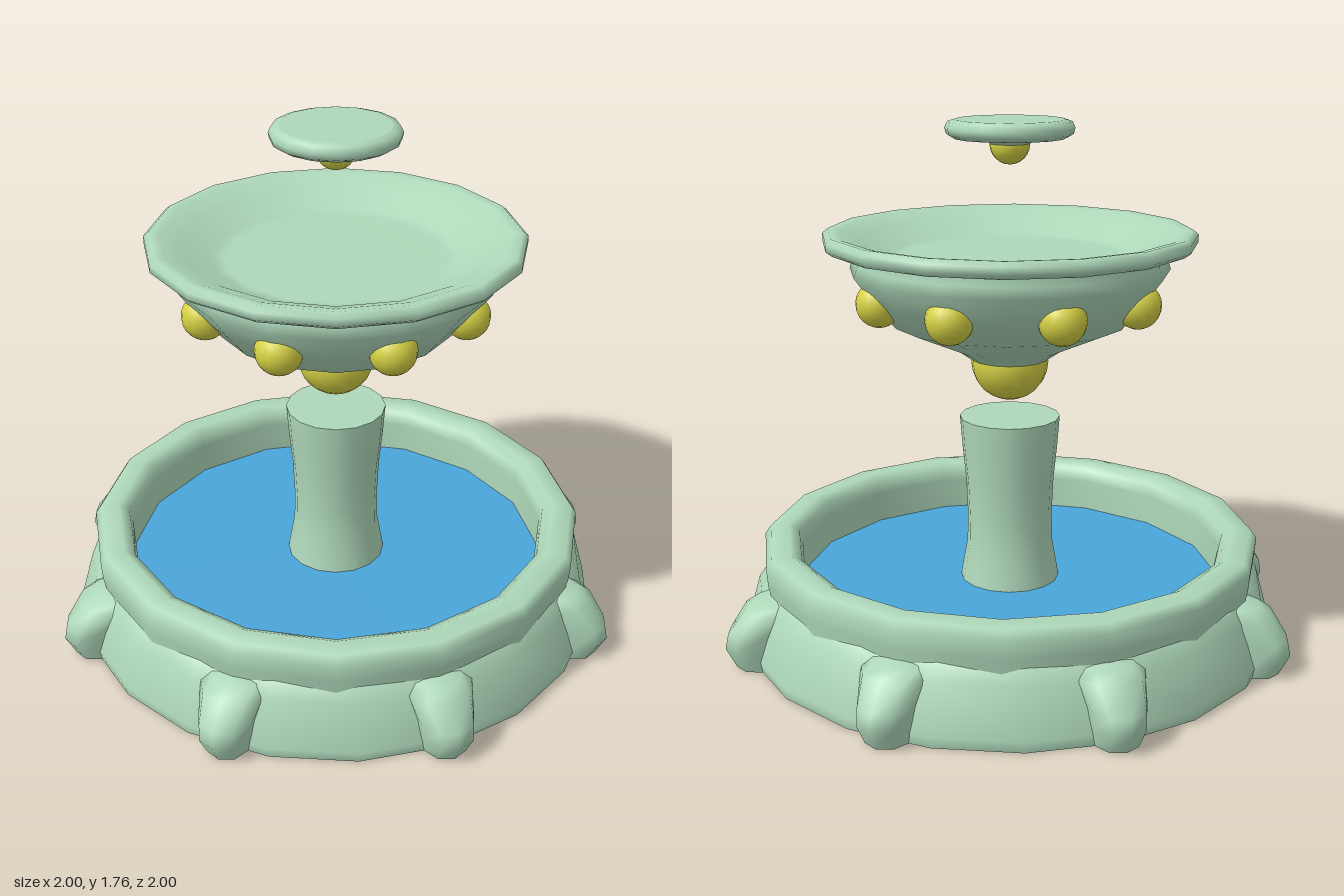
import * as THREE from 'three';

const stone = new THREE.MeshStandardMaterial({ name: 'pale green stone', color: 0xaed8ba });
const water = new THREE.MeshStandardMaterial({ name: 'blue water', color: 0x4aa5da });
const gold = new THREE.MeshStandardMaterial({ name: 'yellow gold', color: 0xd6d245 });

// Turned part from [radius, height] pairs; a repeated pair keeps a hard edge
function turned(name, profile, segments) {
  const points = profile.map(([r, y]) => new THREE.Vector2(r, y));
  const mesh = new THREE.Mesh(new THREE.LatheGeometry(points, segments), stone);
  mesh.name = name;
  return mesh;
}

function ball(name, radius, x, y, z) {
  const mesh = new THREE.Mesh(new THREE.SphereGeometry(radius, 16, 12), gold);
  mesh.name = name;
  mesh.position.set(x, y, z);
  return mesh;
}

// Rounded foot: stacked half-octagon sections [height, half width, reach]
function buttressGeometry() {
  const sections = [
    [0, 0.075, 0.965], [0.07, 0.085, 1.0], [0.12, 0.09, 0.99],
    [0.2, 0.11, 0.93], [0.225, 0.09, 0.89],
  ];
  const pos = [], index = [], n = 7;
  for (const [y, w, o] of sections) {
    const ring = [[-w, 0.78], [-w, o - 0.08], [-0.65 * w, o - 0.02], [0, o],
      [0.65 * w, o - 0.02], [w, o - 0.08], [w, 0.78]];
    for (const [x, z] of ring) pos.push(x, y, z);
  }
  for (let j = 0; j < sections.length - 1; j++) {
    for (let i = 0; i < n - 1; i++) {
      const a = j * n + i, b = a + 1, c = a + n, d = c + 1;
      index.push(a, b, d, a, d, c);
    }
  }
  // Crowned top and flat underside
  const last = (sections.length - 1) * n, top = pos.length / 3;
  pos.push(0, 0.24, 0.82);
  for (let i = 0; i < n - 1; i++) index.push(last + i, last + i + 1, top);
  const under = pos.length / 3;
  for (let i = 0; i < n; i++) pos.push(pos[i * 3], 0, pos[i * 3 + 2]);
  for (let i = 1; i < n - 1; i++) index.push(under, under + i + 1, under + i);
  const geo = new THREE.BufferGeometry();
  geo.setAttribute('position', new THREE.Float32BufferAttribute(pos, 3));
  geo.setIndex(index);
  geo.computeVertexNormals();
  return geo;
}

export function createModel() {
  const fountain = new THREE.Group();
  fountain.name = 'fountain';

  // Pool
  fountain.add(turned('plinth', [
    [0, 0], [0.905, 0], [0.905, 0], [0.915, 0.04], [0.87, 0.2], [0.82, 0.25],
  ], 20));
  fountain.add(turned('poolWall', [
    [0.83, 0.12], [0.84, 0.22], [0.85, 0.27], [0.855, 0.33], [0.835, 0.36],
    [0.77, 0.365], [0.735, 0.345], [0.725, 0.3], [0.725, 0.12],
  ], 16));
  const pool = new THREE.Mesh(new THREE.CircleGeometry(0.75, 32), water);
  pool.name = 'poolWater';
  pool.rotation.x = -Math.PI / 2;
  pool.position.y = 0.19;
  fountain.add(pool);

  // Feet around the pool
  const footShape = buttressGeometry();
  for (let i = 0; i < 8; i++) {
    const foot = new THREE.Mesh(footShape, stone);
    foot.name = 'buttress';
    foot.rotation.y = i * Math.PI / 4;
    fountain.add(foot);
  }

  // Central column
  fountain.add(turned('column', [
    [0.175, 0.15], [0.165, 0.22], [0.147, 0.32], [0.145, 0.42], [0.15, 0.54],
    [0.162, 0.66], [0.17, 0.768], [0.17, 0.768], [0, 0.768],
  ], 16));

  // Upper bowl with its gold balls
  fountain.add(turned('upperBowl', [
    [0, 0.97], [0.13, 0.97], [0.13, 0.97], [0.18, 1.005], [0.395, 1.1],
    [0.47, 1.19], [0.532, 1.275], [0.52, 1.31], [0.52, 1.35], [0.52, 1.35],
    [0.6, 1.35], [0.62, 1.365], [0.62, 1.39], [0.602, 1.405], [0.57, 1.4],
    [0.5, 1.375], [0.4, 1.325], [0.36, 1.32], [0, 1.32],
  ], 16));
  fountain.add(ball('bowlFinial', 0.13, 0, 0.957, 0));
  for (let i = 0; i < 8; i++) {
    const a = i * Math.PI / 4;
    fountain.add(ball('bowlBall', 0.077, 0.45 * Math.sin(a), 1.187, 0.45 * Math.cos(a)));
  }

  // Small top dish
  fountain.add(turned('topDish', [
    [0, 1.68], [0.062, 1.68], [0.08, 1.697], [0.08, 1.697], [0.185, 1.702],
    [0.207, 1.715], [0.212, 1.735], [0.203, 1.755], [0.18, 1.762], [0.18, 1.762], [0, 1.762],
  ], 16));
  fountain.add(ball('topFinial', 0.066, 0, 1.682, 0));

  return fountain;
}
